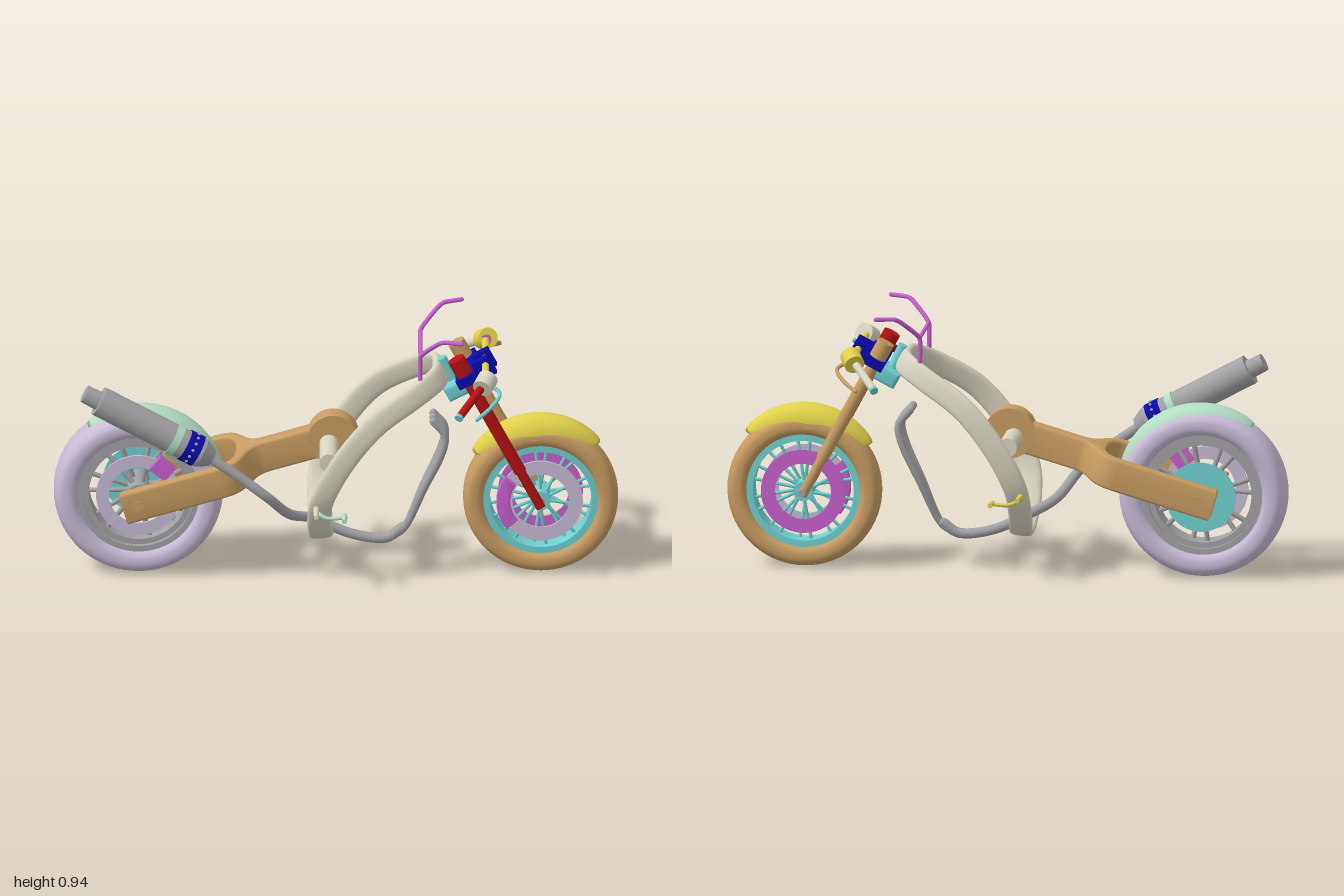
import * as THREE from 'three';
import { toCreasedNormals } from 'three/addons/utils/BufferGeometryUtils.js';
import { ParametricGeometry } from 'three/addons/geometries/ParametricGeometry.js';

const paint = (name, color, side = THREE.FrontSide) => {
  const m = new THREE.MeshStandardMaterial({ color, side });
  m.name = name;
  return m;
};
const beige = paint('beige', 0xd8d4c0), lavender = paint('lavender', 0xc8bcd6);
const tan = paint('tan', 0xc89c62), mint = paint('mint', 0xb2dcc2, THREE.DoubleSide);
const yellow = paint('yellow', 0xe0d04a, THREE.DoubleSide), gray = paint('gray', 0xa2a2a5);
const cyan = paint('cyan', 0x70d0d2), blue = paint('blue', 0x0a0aaa);
const red = paint('red', 0xb81212), magenta = paint('magenta', 0xc860cc);

const vec = (p) => new THREE.Vector3(...p);
const sgnPow = (v, e) => Math.sign(v) * Math.abs(v) ** e;

function add(parent, name, geometry, material, pos = [0, 0, 0], rotZ = 0) {
  const mesh = new THREE.Mesh(geometry, material);
  mesh.name = name;
  mesh.position.set(...pos);
  mesh.rotation.z = rotZ;
  parent.add(mesh);
  return mesh;
}

// Straight cylinder or cone between two points
function rod(parent, name, material, a, b, r, rEnd = r, seg = 24) {
  const A = vec(a), B = vec(b), d = B.clone().sub(A);
  const mesh = add(parent, name, new THREE.CylinderGeometry(rEnd, r, d.length(), seg), material);
  mesh.position.copy(A).add(B).multiplyScalar(0.5);
  mesh.quaternion.setFromUnitVectors(new THREE.Vector3(0, 1, 0), d.normalize());
  return mesh;
}

// Bent pipe through a few points
function pipe(parent, name, material, pts, r, tension = 0.5) {
  const curve = new THREE.CatmullRomCurve3(pts.map(vec), false, 'catmullrom', tension);
  add(parent, name, new THREE.TubeGeometry(curve, 14 * pts.length, r, 12), material);
  for (const p of [pts[0], pts[pts.length - 1]]) add(parent, name + 'End', new THREE.SphereGeometry(r, 12, 8), material, p);
}

function extrude(shape, depth, bevel = 0) {
  const g = new THREE.ExtrudeGeometry(shape, {
    depth: depth - 2 * bevel, curveSegments: 48, bevelEnabled: bevel > 0,
    bevelSize: bevel, bevelThickness: bevel, bevelOffset: -bevel, bevelSegments: 3,
  });
  g.translate(0, 0, -depth / 2 + bevel);
  return toCreasedNormals(g, 0.6);
}

// Flat ring around the z axis
function ring(ro, ri, width) {
  const s = new THREE.Shape().absarc(0, 0, ro, 0, Math.PI * 2, false);
  s.holes.push(new THREE.Path().absarc(0, 0, ri, 0, Math.PI * 2, true));
  return extrude(s, width);
}

// Rounded tyre around the z axis
function tyre(ro, ri, halfWidth) {
  const pts = [];
  for (let i = 0; i <= 36; i++) {
    const t = (i / 36) * Math.PI * 2;
    pts.push(new THREE.Vector2((ro + ri) / 2 + ((ro - ri) / 2) * sgnPow(Math.cos(t), 0.8), halfWidth * sgnPow(Math.sin(t), 0.75)));
  }
  return new THREE.LatheGeometry(pts, 72).rotateX(Math.PI / 2);
}

// Curved mudguard whose skirts taper toward both ends
function fender(R, halfWidth, a0, a1) {
  return new ParametricGeometry((u, v, out) => {
    const a = a0 + (a1 - a0) * v, e = Math.sqrt(Math.abs(Math.sin(Math.PI * v))), s = (u - 0.5) * Math.PI;
    const r = R - 0.015 * (1 - e) - (0.015 + 0.065 * e) * (1 - Math.cos(s));
    out.set(r * Math.cos(a), r * Math.sin(a), halfWidth * (0.4 + 0.6 * e) * Math.sin(s));
  }, 20, 40);
}

// Crossed pairs of spokes from hub to rim
function spokes(parent, material, pairs, r0, r1, thick, spread) {
  for (let i = 0; i < pairs; i++) for (const s of [-1, 1]) {
    const a = (i / pairs) * Math.PI * 2 + 0.3, b = a + s * spread;
    rod(parent, 'spoke', material, [r0 * Math.cos(a), r0 * Math.sin(a), s * 0.025],
      [r1 * Math.cos(b), r1 * Math.sin(b), s * 0.01], thick, thick, 8);
  }
}

// Wide hooped frame: one closed flat band, [x, y, z, side angle in degrees]
function frameBand() {
  const half = [[0.37, 0.755, 0, 28], [0.355, 0.75, 0.09, 28], [0.28, 0.71, 0.155, 33], [0.14, 0.62, 0.208, 46],
    [0.03, 0.49, 0.222, 60], [-0.045, 0.345, 0.205, 80], [-0.06, 0.24, 0.15, 90], [-0.054, 0.165, 0.075, 95], [-0.05, 0.142, 0, 95]];
  const loop = [...half, ...half.slice(1, -1).reverse().map(([x, y, z, d]) => [x, y, -z, d])];
  const path = new THREE.CatmullRomCurve3(loop.map((p) => vec(p.slice(0, 3))), true, 'catmullrom');
  const tilt = new THREE.CatmullRomCurve3(loop.map((p) => new THREE.Vector3(p[3] * Math.PI / 180, 0, 0)), true, 'catmullrom');
  return new ParametricGeometry((u, v, out) => {
    const T = path.getTangent(v), f = tilt.getPoint(v).x, c = u * Math.PI * 2;
    const W = new THREE.Vector3(-Math.sin(f), Math.cos(f), 0);
    W.addScaledVector(T, -W.dot(T)).normalize();
    const N = new THREE.Vector3().crossVectors(T, W);
    out.copy(path.getPoint(v)).addScaledVector(W, 0.042 * sgnPow(Math.cos(c), 0.7)).addScaledVector(N, 0.018 * sgnPow(Math.sin(c), 0.7));
  }, 24, 120);
}

// Forked swingarm in plan
function swingarmShape() {
  const s = new THREE.Shape();
  s.moveTo(0, 0.032).lineTo(-0.25, 0.032);
  s.bezierCurveTo(-0.33, 0.04, -0.3, 0.175, -0.42, 0.175);
  s.lineTo(-0.775, 0.175).lineTo(-0.775, 0.13).lineTo(-0.42, 0.13);
  s.bezierCurveTo(-0.36, 0.13, -0.345, 0.08, -0.345, 0);
  s.bezierCurveTo(-0.345, -0.08, -0.36, -0.13, -0.42, -0.13);
  s.lineTo(-0.775, -0.13).lineTo(-0.775, -0.175).lineTo(-0.42, -0.175);
  s.bezierCurveTo(-0.3, -0.175, -0.33, -0.04, -0.25, -0.032);
  s.lineTo(0, -0.032).closePath();
  return s;
}

export function createModel() {
  const model = new THREE.Group();
  const group = (name, x, y, z) => {
    const g = new THREE.Group();
    g.name = name;
    g.position.set(x, y, z);
    model.add(g);
    return g;
  };

  // Rear wheel
  const rear = group('rearWheel', -0.7, 0.3, -0.01);
  add(rear, 'rearTyre', tyre(0.3, 0.205, 0.083), lavender);
  add(rear, 'rearRim', ring(0.222, 0.195, 0.125), gray);
  add(rear, 'rearRimStep', ring(0.197, 0.175, 0.09), gray);
  add(rear, 'rearBrakeDisc', ring(0.15, 0.105, 0.008), lavender, [0, 0, 0.066]);
  add(rear, 'rearCaliper', new THREE.BoxGeometry(0.07, 0.06, 0.035), magenta, [0.085, 0.105, 0.075], -0.7);
  rod(rear, 'rearPulley', cyan, [0, 0, -0.102], [0, 0, -0.094], 0.125, 0.125, 48);
  rod(rear, 'rearHub', gray, [0, 0, -0.09], [0, 0, 0.07], 0.04);
  rod(rear, 'rearAxle', tan, [0, 0, -0.18], [0, 0, 0.18], 0.02);
  spokes(rear, gray, 7, 0.035, 0.185, 0.009, 0.16);
  add(rear, 'rearFender', fender(0.322, 0.078, 0.22, 2.2), mint);

  // Front wheel
  const front = group('frontWheel', 0.725, 0.275, -0.008);
  add(front, 'frontTyre', tyre(0.275, 0.196, 0.064), tan);
  add(front, 'frontRim', ring(0.208, 0.18, 0.09), cyan);
  add(front, 'leftBrakeDisc', ring(0.15, 0.1, 0.008), lavender, [0, 0, 0.053]);
  add(front, 'rightBrakeDisc', ring(0.15, 0.1, 0.008), magenta, [0, 0, -0.053]);
  const pad = new THREE.Shape().absarc(0, 0, 0.157, 2.5, 3.85, false);
  pad.absarc(0, 0, 0.108, 3.85, 2.5, true);
  add(front, 'frontCaliper', extrude(pad, 0.026, 0.004), magenta, [0, 0, 0.06]);
  rod(front, 'frontHub', cyan, [0, 0, -0.06], [0, 0, 0.06], 0.035);
  rod(front, 'frontAxle', gray, [0, 0, -0.1], [0, 0, 0.1], 0.014);
  spokes(front, cyan, 10, 0.03, 0.19, 0.006, 0.12);
  add(front, 'frontFender', fender(0.312, 0.064, 0.78, 2.52), yellow);

  // Frame with cross tube
  add(model, 'frameHoop', frameBand(), beige);
  rod(model, 'frameCrossTube', beige, [-0.025, 0.485, -0.225], [-0.025, 0.485, 0.225], 0.034);

  // Swingarm and pivot
  const swing = group('swingarm', -0.01, 0.5, -0.01);
  swing.rotation.z = 0.285;
  add(swing, 'swingarmFork', extrude(swingarmShape(), 0.115, 0.01).rotateX(Math.PI / 2), tan);
  rod(swing, 'swingarmPivot', tan, [0, 0, -0.035], [0, 0, 0.04], 0.09, 0.09, 48);

  // Fork legs: points along the steering slope
  const leg = (y, z) => [0.44 + (0.8 - y) * 0.535, y, z];
  for (const [side, z, mat] of [['left', 0.086, red], ['right', -0.087, tan]]) {
    rod(model, side + 'ForkCap', mat, leg(0.745, z), leg(0.828, z), 0.031);
    rod(model, side + 'ForkUpper', mat, leg(0.4, z), leg(0.75, z), 0.022);
    rod(model, side + 'ForkLower', mat, leg(0.265, z), leg(0.405, z), 0.0175);
  }

  // Clamps and steering head
  const rake = 0.49;
  add(model, 'upperClamp', new THREE.BoxGeometry(0.075, 0.034, 0.26), blue, [0.465, 0.757, 0], rake);
  for (const z of [-0.037, 0.04]) add(model, 'barRiser', new THREE.BoxGeometry(0.065, 0.07, 0.036), blue, [0.525, 0.778, z], rake);
  add(model, 'lowerClamp', extrude(new THREE.Shape().moveTo(-0.05, -0.03).lineTo(0.06, -0.03).lineTo(0.06, 0.03).lineTo(-0.05, 0.03), 0.125, 0.014), cyan, [0.435, 0.7, 0], rake);
  rod(model, 'steeringStem', cyan, [0.425, 0.69, 0], [0.372, 0.8, 0], 0.02);

  // Handlebar, master cylinders, grips and levers
  rod(model, 'handlebar', yellow, [0.53, 0.792, -0.215], [0.53, 0.792, 0.215], 0.013);
  for (const [side, s, grip, lever, cup] of [['left', 1, red, cyan, beige], ['right', -1, beige, tan, yellow]]) {
    rod(model, side + 'Reservoir', cup, [0.54, 0.8, s * 0.198], [0.518, 0.776, s * 0.245], 0.036);
    rod(model, side + 'Grip', grip, [0.52, 0.78, s * 0.23], [0.437, 0.708, s * 0.352], 0.014);
    rod(model, side + 'GripEnd', cyan, [0.439, 0.71, s * 0.349], [0.434, 0.705, s * 0.358], 0.015);
    pipe(model, side + 'Lever', lever, [[0.535, 0.785, s * 0.215], [0.58, 0.76, s * 0.25], [0.55, 0.73, s * 0.31], [0.5, 0.705, s * 0.368]], 0.007);
  }
  rod(model, 'switchCollar', magenta, [0.53, 0.792, -0.205], [0.53, 0.792, -0.19], 0.02);

  // Upper rack bars
  rod(model, 'rackCrossbar', magenta, [0.3, 0.856, -0.135], [0.3, 0.856, 0.135], 0.007);
  for (const s of [-1, 1]) {
    pipe(model, 'rackArm', magenta, [[0.3, 0.745, s * 0.135], [0.3, 0.855, s * 0.135], [0.36, 0.92, s * 0.185], [0.385, 0.934, s * 0.2], [0.445, 0.936, s * 0.222]], 0.008, 0.25);
  }

  // Muffler along its own axis
  const tail = [-0.84, 0.706], nose = [-0.45, 0.494];
  const along = (t) => [tail[0] + (nose[0] - tail[0]) * t, tail[1] + (nose[1] - tail[1]) * t, 0.184];
  rod(model, 'mufflerBody', gray, along(0), along(0.93), 0.054, 0.054, 32);
  rod(model, 'mufflerNose', gray, along(0.93), along(1.03), 0.054, 0.03, 32);
  rod(model, 'mufflerTip', gray, along(-0.13), along(0.01), 0.032, 0.034);
  rod(model, 'mufflerMintBand', mint, along(0.66), along(0.72), 0.058, 0.058, 32);
  rod(model, 'mufflerBlueBand', blue, along(0.78), along(0.9), 0.058, 0.058, 32);
  const bolts = new THREE.Group();
  bolts.name = 'mufflerBolts';
  bolts.position.set(...along(0.84));
  bolts.rotation.z = Math.atan2(nose[1] - tail[1], nose[0] - tail[0]);
  model.add(bolts);
  for (let i = 0; i < 14; i++) {
    const a = (i / 14) * Math.PI * 2;
    add(bolts, 'bolt', new THREE.SphereGeometry(0.006, 8, 6), gray, [0, 0.058 * Math.cos(a), 0.058 * Math.sin(a)]);
  }

  // Exhaust: collector run and three header pipes
  pipe(model, 'exhaustPipe', gray, [[-0.455, 0.495, 0.184], [-0.34, 0.415, 0.184], [-0.24, 0.335, 0.178], [-0.165, 0.245, 0.1],
    [-0.08, 0.2, 0.025], [0.05, 0.14, 0.015], [0.17, 0.122, 0.015], [0.235, 0.16, 0.01]], 0.018);
  for (const s of [-1, 0, 1]) {
    pipe(model, 'headerPipe', gray, [[0.18, 0.123, 0.012], [0.245, 0.165, 0.01], [0.31, 0.31, s * 0.025], [0.37, 0.44, s * 0.042],
      [0.385, 0.52, s * 0.045], [0.345, 0.575, s * 0.045]], 0.014);
  }

  // Foot pegs and pedals
  for (const [side, s, peg, pedal] of [['left', 1, beige, mint], ['right', -1, yellow, yellow]]) {
    rod(model, side + 'FootPeg', peg, [-0.07, 0.305, s * 0.19], [-0.07, 0.312, s * 0.315], 0.011, 0.008);
    pipe(model, side + 'PedalArm', pedal, [[-0.075, 0.3, s * 0.215], [-0.03, 0.28, s * 0.235], [0.035, 0.283, s * 0.235]], 0.007);
    rod(model, side + 'PedalPad', pedal, [0.03, 0.283, s * 0.215], [0.03, 0.285, s * 0.28], 0.009);
  }
  return model;
}
